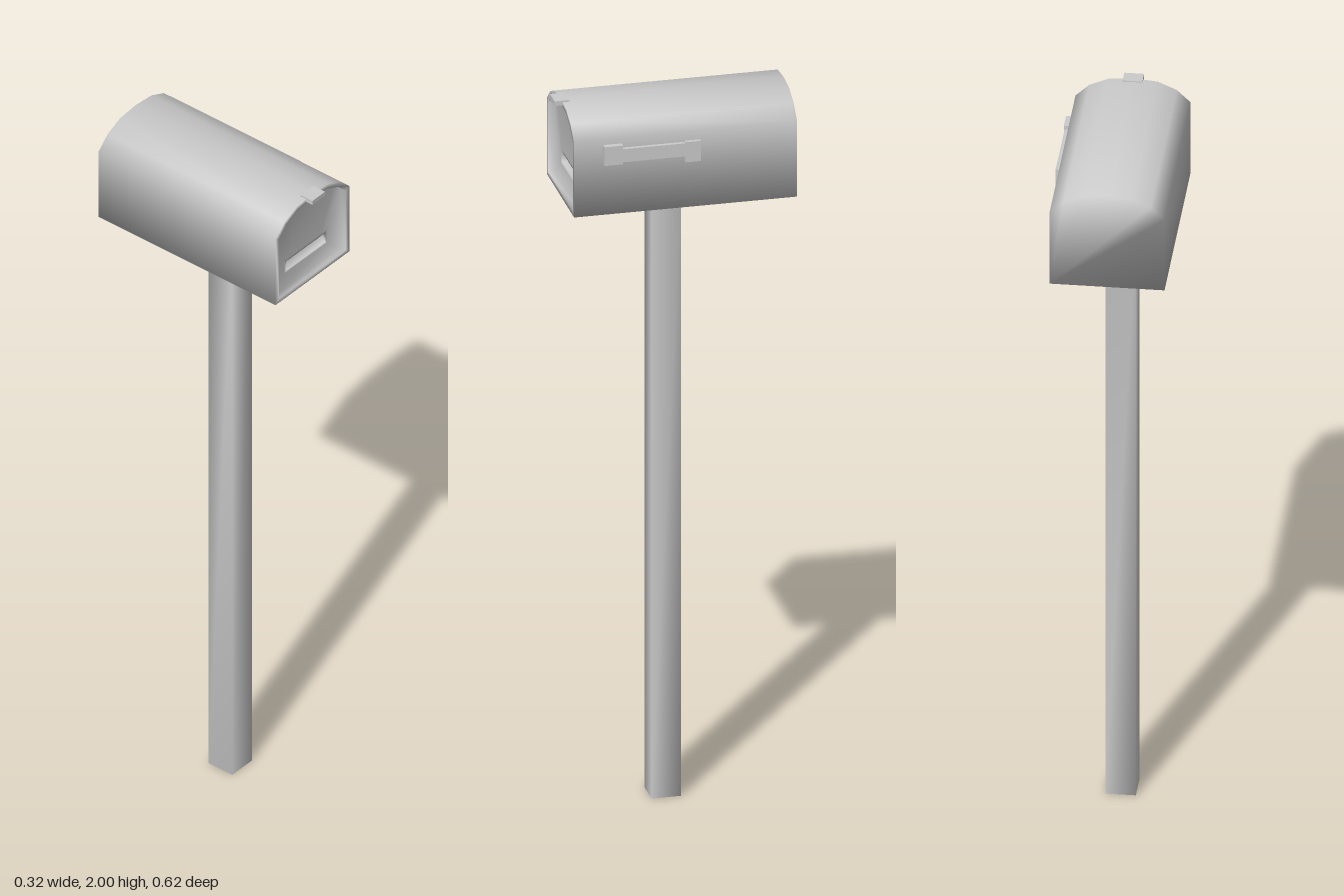
import * as THREE from 'three';
import { mergeVertices } from 'three/addons/utils/BufferGeometryUtils.js';

const grey = new THREE.MeshStandardMaterial({ color: 0xcccccc });
const CX = -0.0085; // centre line of the box

function addMesh(parent, name, geometry) {
  const mesh = new THREE.Mesh(geometry, grey);
  mesh.name = name;
  parent.add(mesh);
  return mesh;
}

// Box given by its min and max on each axis
function addBlock(parent, name, [x0, x1], [y0, y1], [z0, z1]) {
  const geometry = new THREE.BoxGeometry(x1 - x0, y1 - y0, z1 - z0);
  geometry.translate((x0 + x1) / 2, (y0 + y1) / 2, (z0 + z1) / 2);
  return addMesh(parent, name, geometry);
}

// Skin matching rings from back to front and close both ends
function loft(rings) {
  const n = rings[0].points.length;
  const positions = [];
  const index = [];
  for (const { points, z } of rings) {
    for (const [x, y] of points) positions.push(CX + x, y, z);
  }
  for (let j = 0; j < rings.length - 1; j++) {
    for (let i = 0; i < n; i++) {
      const a = j * n + i;
      const b = j * n + (i + 1) % n;
      index.push(a, b, b + n, a, b + n, a + n);
    }
  }
  const last = (rings.length - 1) * n;
  for (let i = 1; i < n - 1; i++) {
    index.push(0, i + 1, i);
    index.push(last, last + i, last + i + 1);
  }
  const geometry = new THREE.BufferGeometry();
  geometry.setAttribute('position', new THREE.Float32BufferAttribute(positions, 3));
  geometry.setIndex(index);
  geometry.computeVertexNormals();
  return geometry;
}

// Mirror a right-hand half outline (bottom to top) into a closed ring
function ring(half, top) {
  const left = half.map(([x, y]) => [-x, y]).reverse();
  const right = half.slice();
  return [...right, top, ...left];
}

export function createModel() {
  const model = new THREE.Group();
  model.name = 'mailbox';

  // Arched box with a rim, a sunken door and a letter slot
  const outer = ring([[0.1515, 1.72], [0.1515, 1.935], [0.115, 1.97], [0.065, 1.992]], [0, 1.998]);
  const inner = ring([[0.137, 1.733], [0.137, 1.928], [0.106, 1.958], [0.06, 1.979]], [0, 1.985]);
  const slot = ring([[0.087, 1.775], [0.087, 1.818], [0.06, 1.818], [0.03, 1.818]], [0, 1.818]);
  const slotInner = ring([[0.08, 1.781], [0.08, 1.811], [0.055, 1.811], [0.028, 1.811]], [0, 1.811]);
  addMesh(model, 'box', loft([
    { points: outer, z: -0.312 },
    { points: outer, z: 0.288 },
    { points: inner, z: 0.288 },
    { points: inner, z: 0.272 },
    { points: slot, z: 0.265 },
    { points: slotInner, z: 0.265 },
    { points: slotInner, z: 0.245 },
  ]));

  // Pull tab over the door
  addBlock(model, 'doorTab', [-0.035, 0.017], [1.987, 2.0], [0.27, 0.31]);

  // Square post with softly shaded corners
  let post = new THREE.BoxGeometry(0.08, 1.725, 0.08);
  post.deleteAttribute('normal');
  post.deleteAttribute('uv');
  post = mergeVertices(post);
  post.computeVertexNormals();
  post.translate(-0.012, 0.8625, 0.012);
  addMesh(model, 'post', post);

  // Signal flag on the left side
  const flag = new THREE.Group();
  flag.name = 'flag';
  addBlock(flag, 'flagHub', [0.143, 0.159], [1.865, 1.918], [0.16, 0.21]);
  addBlock(flag, 'flagArm', [0.146, 0.157], [1.87, 1.907], [-0.01, 0.16]);
  addBlock(flag, 'flagTip', [0.146, 0.157], [1.853, 1.91], [-0.05, -0.008]);
  model.add(flag);

  return model;
}
